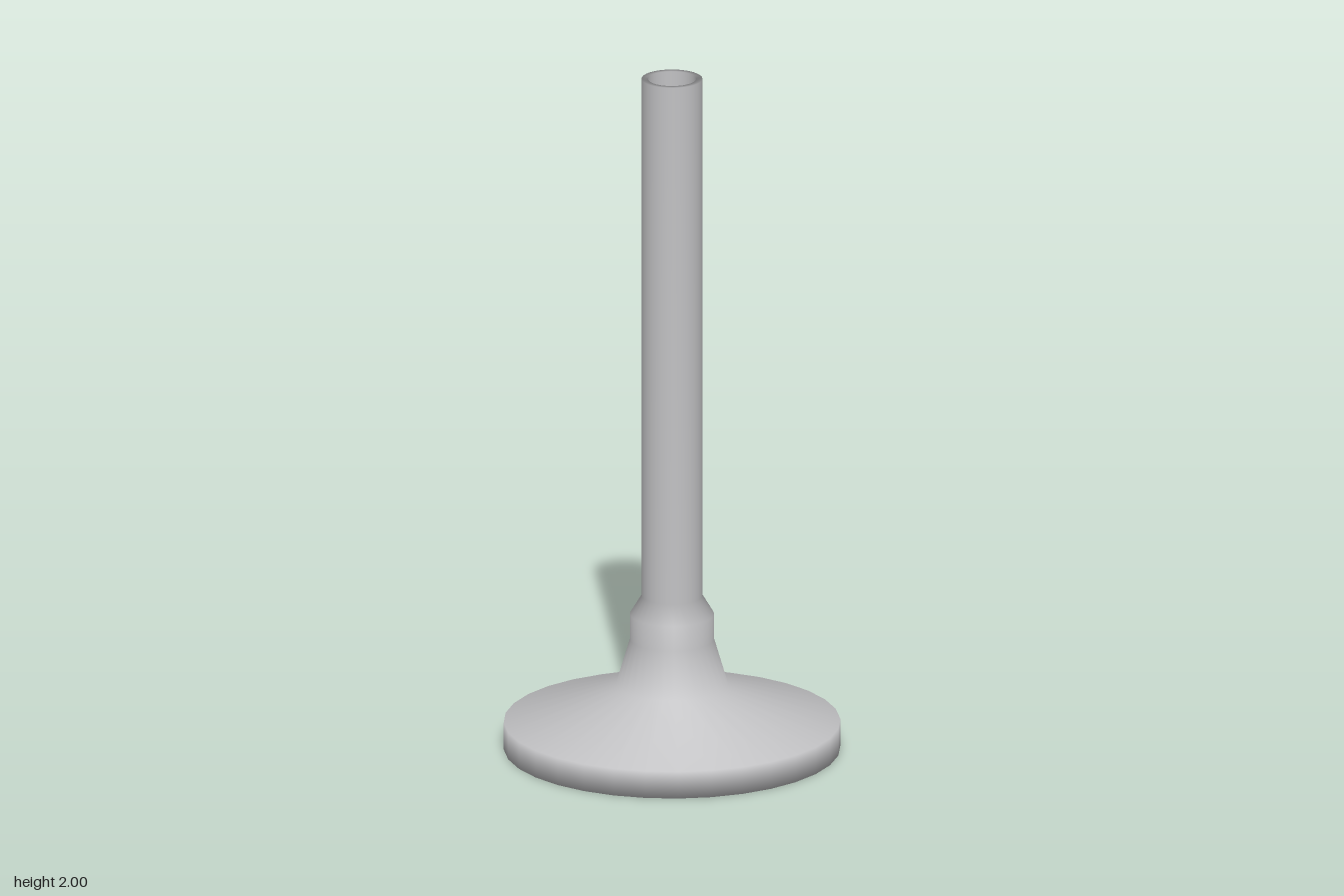
import * as THREE from 'three';

export function createModel() {
  const group = new THREE.Group();
  const metal = new THREE.MeshStandardMaterial({ color: 0xc0c0c2 });
  metal.name = 'light grey metal';

  // One smooth turned body: disc foot, flared neck, collar and hollow tube
  const profile = [
    [0, 0], [0.48, 0], [0.48, 0.08],     // underside and rim of the foot
    [0.16, 0.19], [0.12, 0.325],         // sloped top and flared neck
    [0.12, 0.4], [0.087, 0.455],         // collar and its shoulder
    [0.087, 2], [0.069, 2],              // tube and its lip
    [0.069, 0.42], [0, 0.42],            // bore and its floor
  ].map(([r, y]) => new THREE.Vector2(r, y));

  const stand = new THREE.Mesh(new THREE.LatheGeometry(profile, 32), metal);
  stand.name = 'tubeOnRoundFoot';
  group.add(stand);
  return group;
}
